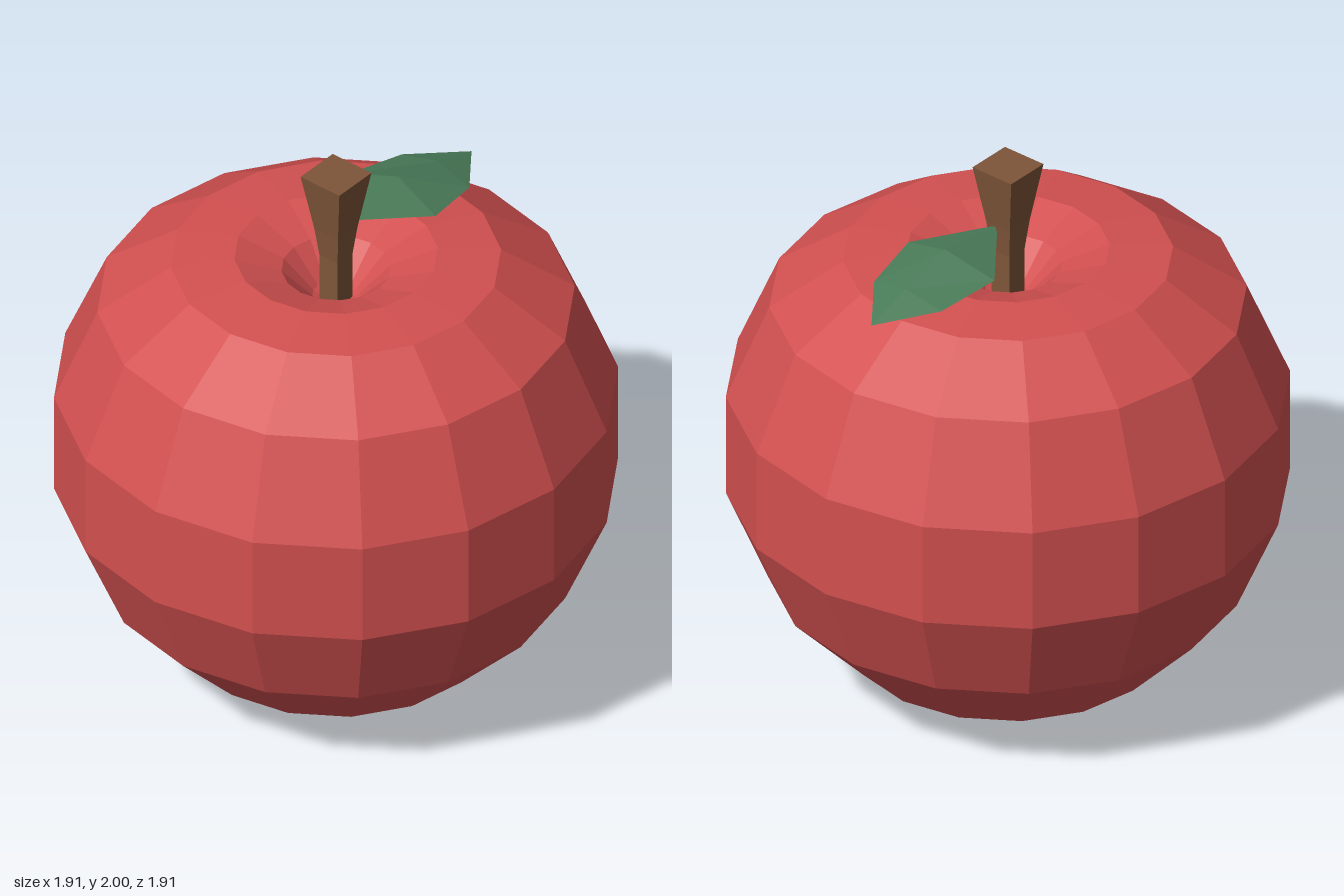
import * as THREE from 'three';

const paint = (color, side = THREE.FrontSide) =>
  new THREE.MeshStandardMaterial({ color, side, flatShading: true, roughness: 0.8 });

// Faceted turned shape from [radius, height] pairs, listed bottom to top
function turned(name, profile, sides, start, material) {
  const points = profile.map(([r, y]) => new THREE.Vector2(r, y));
  const mesh = new THREE.Mesh(new THREE.LatheGeometry(points, sides, start), material);
  mesh.name = name;
  return mesh;
}

// Leaf folded along its midrib: each section is [z, ridge height, edge z, edge height, half width]
function leafGeometry() {
  const sections = [
    [-0.06, 1.785, -0.08, 1.78, 0.025],
    [-0.32, 1.815, -0.29, 1.755, 0.19],
    [-0.53, 1.76, -0.52, 1.725, 0.148],
    [-0.71, 1.7, -0.71, 1.7, 0],
  ];
  const positions = [];
  const index = [];
  sections.forEach(([z, y, edgeZ, edgeY, w], i) => {
    positions.push(-w + 0.006, edgeY, edgeZ, 0.006, y, z, w + 0.006, edgeY, edgeZ);
    if (i === 0) return;
    for (let k = 0; k < 2; k++) {
      const a = (i - 1) * 3 + k, b = a + 1, c = a + 3, d = a + 4;
      index.push(a, b, d);
      index.push(a, d, c);
    }
  });
  const geometry = new THREE.BufferGeometry();
  geometry.setAttribute('position', new THREE.Float32BufferAttribute(positions, 3));
  geometry.setIndex(index);
  geometry.computeVertexNormals();
  return geometry;
}

export function createModel() {
  const model = new THREE.Group();
  model.name = 'apple';

  // Fruit with a shallow dimple below and a deeper hollow above
  model.add(turned('fruit', [
    [0, 0.05], [0.23, 0], [0.55, 0.13], [0.81, 0.4], [0.957, 0.75], [0.957, 1.13],
    [0.81, 1.48], [0.56, 1.65], [0.345, 1.67], [0.185, 1.61], [0.08, 1.5], [0, 1.46],
  ], 16, 0, paint(0xd35050)));

  // Square stem, flaring towards the top
  const corner = Math.SQRT2;
  model.add(turned('stem', [
    [0, 1.45], [0.04 * corner, 1.45], [0.04 * corner, 1.67],
    [0.052 * corner, 1.78], [0.085 * corner, 2], [0, 2],
  ], 4, Math.PI / 4, paint(0x7f5539)));

  // Leaf reaching back from the stem
  const leaf = new THREE.Mesh(leafGeometry(), paint(0x4a7c59, THREE.DoubleSide));
  leaf.name = 'leaf';
  model.add(leaf);

  return model;
}
